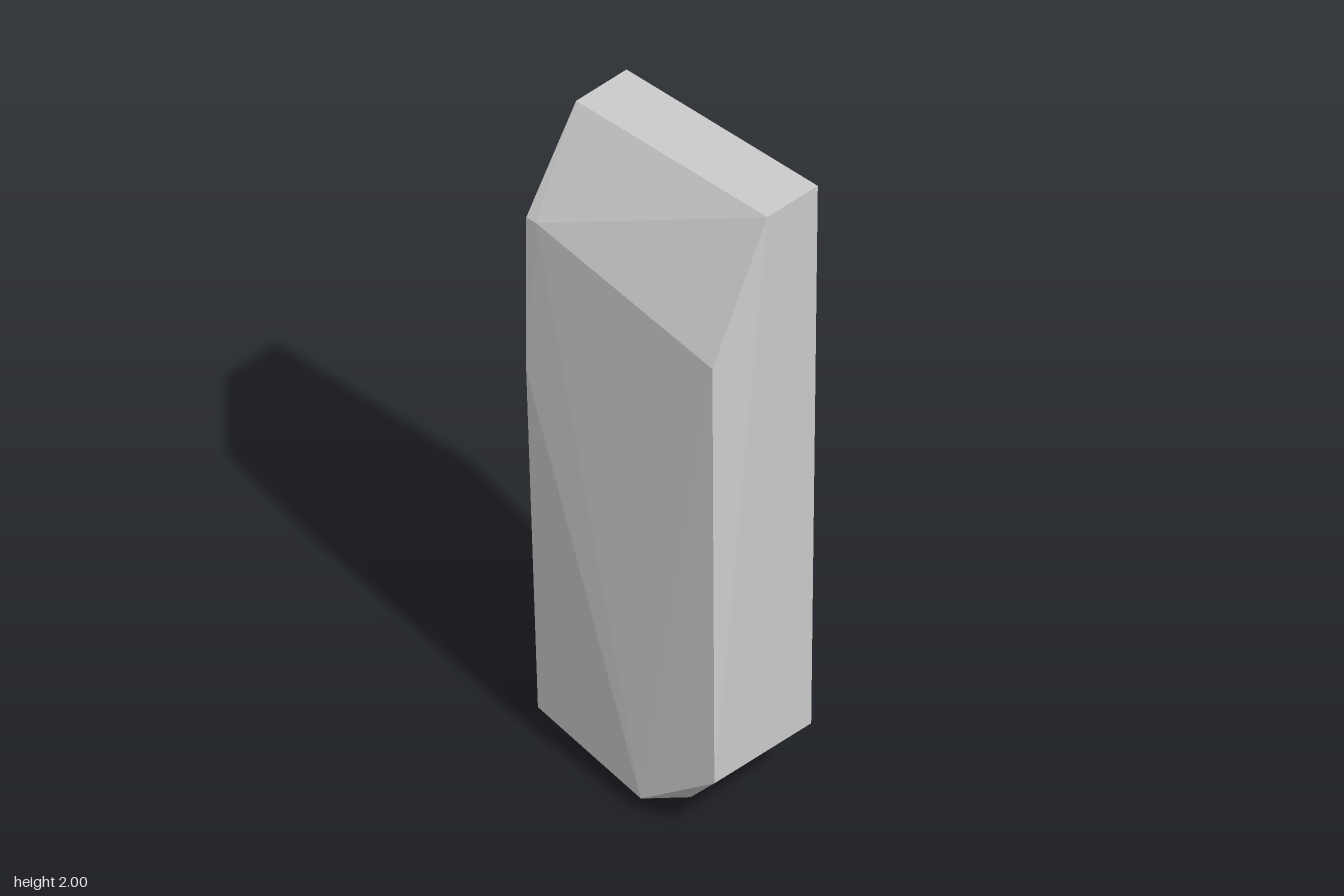
import * as THREE from 'three';
import { ConvexGeometry } from 'three/addons/geometries/ConvexGeometry.js';

// Faceted stone slab: a convex block with chipped corners
export function createModel() {
  const group = new THREE.Group();
  group.name = 'stoneSlab';

  const corners = [
    // flat top
    [-0.348, 2, -0.185], [0.346, 2, -0.185], [0.346, 2, 0], [-0.348, 2, 0],
    // lower edge of the sloped front chip
    [-0.348, 1.72, 0.183], [-0.31, 1.723, 0.185], [0.315, 1.58, 0.17],
    // slight bulge on the front left edge
    [-0.348, 1.22, 0.183],
    // lower front corners
    [-0.348, 0.095, 0.14], [0.07, 0.05, 0.185], [0.327, 0.235, 0.175],
    // lower back corners
    [0.327, 0.235, -0.18], [-0.348, 0.05, -0.185],
    // foot
    [0.112, 0, -0.183], [0.112, 0, 0.045], [-0.3, 0, 0.045],
  ].map((p) => new THREE.Vector3(...p));

  const slab = new THREE.Mesh(
    new ConvexGeometry(corners),
    new THREE.MeshStandardMaterial({ color: 0xcccccc, flatShading: true })
  );
  slab.name = 'slab';
  group.add(slab);
  return group;
}
